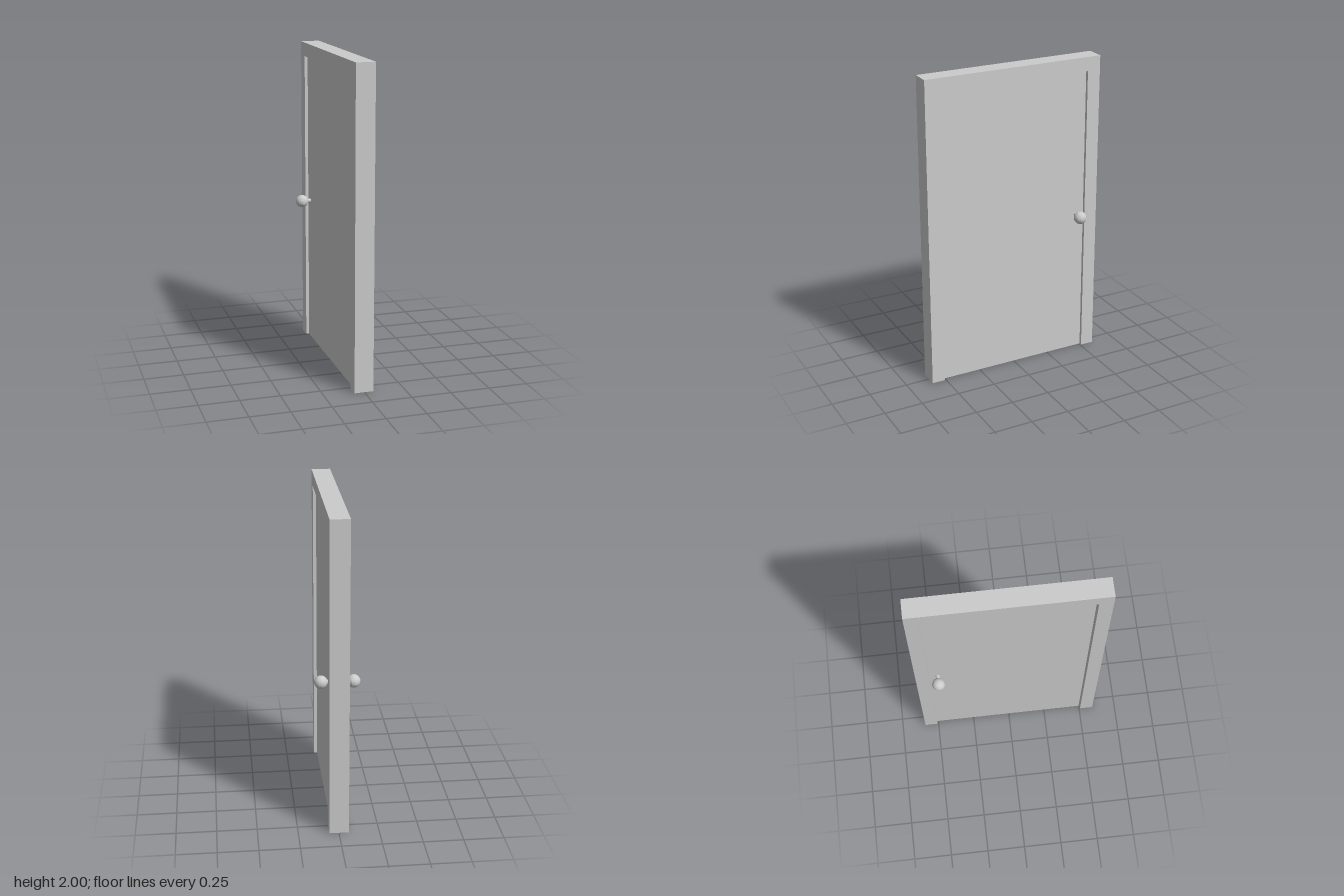
import * as THREE from 'three';

export function createModel() {
  const model = new THREE.Group();
  const material = new THREE.MeshStandardMaterial({ color: 0xcccccc, flatShading: true });

  const add = (parent, name, geometry, x = 0, y = 0, z = 0) => {
    const mesh = new THREE.Mesh(geometry, material);
    mesh.name = name;
    mesh.position.set(x, y, z);
    parent.add(mesh);
    return mesh;
  };

  const depth = 0.12, halfWidth = 0.593, height = 2;
  const openHalf = 0.507, openTop = 1.912;
  const midX = -0.002;

  // Door frame: an upside-down U, extruded through the wall thickness
  const outline = new THREE.Shape([
    [-halfWidth, 0], [-openHalf, 0], [-openHalf, openTop], [openHalf, openTop],
    [openHalf, 0], [halfWidth, 0], [halfWidth, height], [-halfWidth, height],
  ].map(([z, y]) => new THREE.Vector2(z, y)));
  const frame = new THREE.ExtrudeGeometry(outline, { depth, bevelEnabled: false });
  frame.translate(0, 0, -depth / 2).rotateY(Math.PI / 2);
  add(model, 'doorFrame', frame, midX);

  // Door panel, recessed on both sides, with a thin gap along the hinge edge
  const panelX = 0.04, gap = 0.008;
  add(model, 'doorPanel', new THREE.BoxGeometry(panelX * 2, openTop, openHalf * 2 - gap),
    midX, openTop / 2, -gap / 2);

  // Matching knobs on both faces
  for (const side of [1, -1]) {
    const knob = new THREE.Group();
    knob.name = side > 0 ? 'leftKnob' : 'rightKnob';
    knob.position.set(midX, 0.957, -0.452);
    add(knob, 'knobStem', new THREE.CylinderGeometry(0.013, 0.013, 0.06, 12), side * 0.06)
      .rotation.z = Math.PI / 2;
    add(knob, 'knobBall', new THREE.SphereGeometry(0.041, 16, 12), side * 0.099);
    model.add(knob);
  }

  return model;
}
